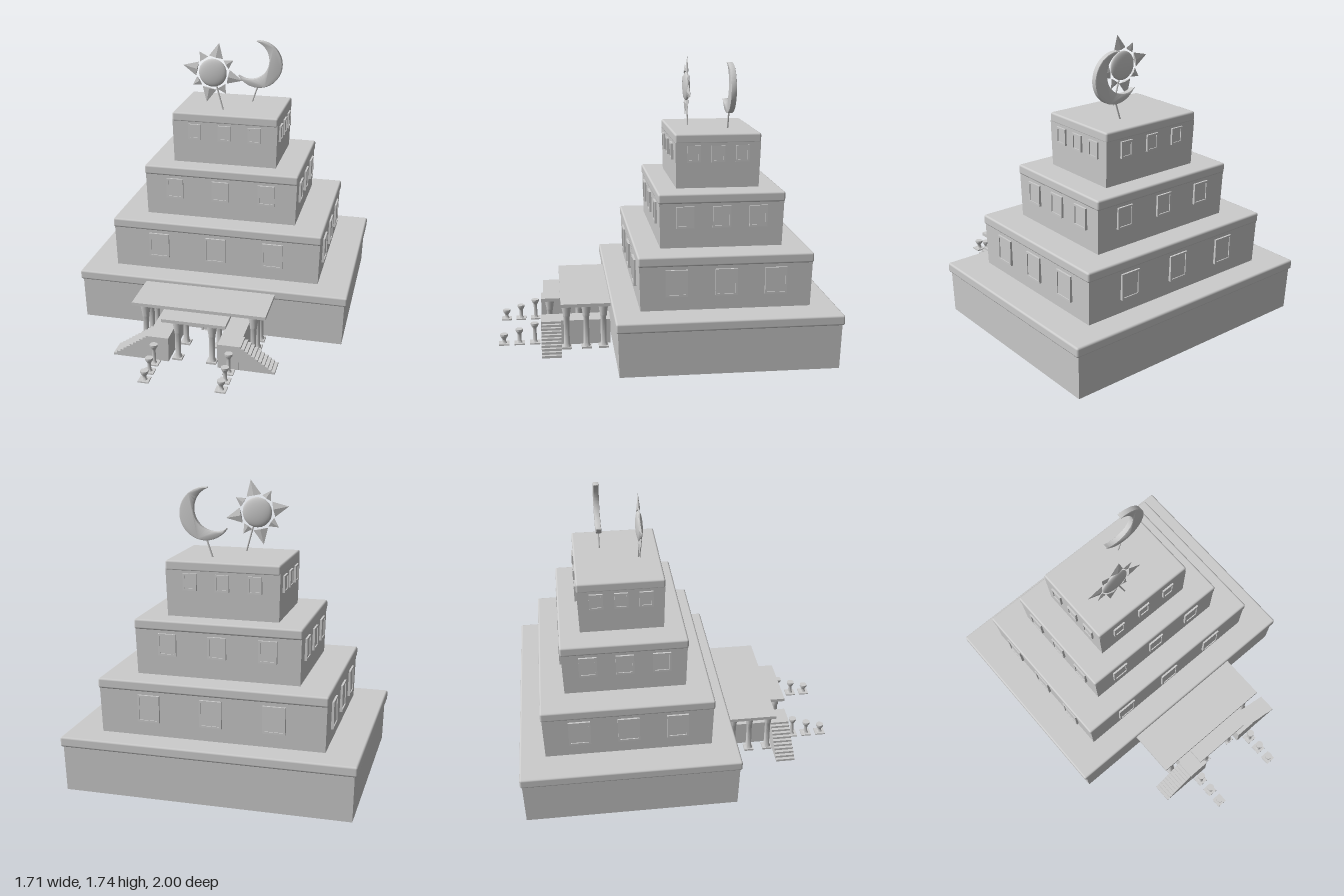
import * as THREE from 'three';
import { RoundedBoxGeometry } from 'three/addons/geometries/RoundedBoxGeometry.js';
import { toCreasedNormals } from 'three/addons/utils/BufferGeometryUtils.js';

const grey = new THREE.MeshStandardMaterial({ color: 0xcccccc });
const CZ = -0.342; // shared centre of the tiers in z

function add(parent, name, geo, x = 0, y = 0, z = 0) {
  const m = new THREE.Mesh(geo, grey);
  m.name = name;
  m.position.set(x, y, z);
  parent.add(m);
  return m;
}
const box = (w, h, d) => new THREE.BoxGeometry(w, h, d);
const lathe = (pts, n = 16) =>
  toCreasedNormals(new THREE.LatheGeometry(pts.map(p => new THREE.Vector2(...p)), n), 0.6);

// Straight round rod between two points
function rod(parent, name, a, b, r) {
  const p = new THREE.Vector3(...a), q = new THREE.Vector3(...b);
  const m = add(parent, name, new THREE.CylinderGeometry(r, r, p.distanceTo(q), 10));
  m.position.copy(p).add(q).multiplyScalar(0.5);
  m.quaternion.setFromUnitVectors(new THREE.Vector3(0, 1, 0), q.sub(p).normalize());
}

// Framed window facing +z, its back on z = 0
function makeWindow(w, h, depth) {
  const g = new THREE.Group();
  g.name = 'window';
  const t = 0.012;
  const s = new THREE.Shape([[-w, -h], [w, -h], [w, h], [-w, h]].map(p => new THREE.Vector2(p[0] / 2, p[1] / 2)));
  const [iw, ih] = [w / 2 - t, h / 2 - t];
  s.holes.push(new THREE.Path([[-iw, -ih], [-iw, ih], [iw, ih], [iw, -ih]].map(p => new THREE.Vector2(...p))));
  add(g, 'windowFrame', new THREE.ExtrudeGeometry(s, { depth, bevelEnabled: false }));
  add(g, 'windowPane', box(2 * iw, 2 * ih, depth * 0.7), 0, 0, depth * 0.35);
  return g;
}

// One storey: body widening slightly upwards, with an overhanging rounded cap
function makeTier(t) {
  const g = new THREE.Group();
  g.name = 'tier';
  const h = t.top - t.y0 - 0.05;
  const body = box(2 * t.bx, h, 2 * t.bz);
  const p = body.attributes.position;
  for (let i = 0; i < p.count; i++) if (p.getY(i) > 0) {
    p.setX(i, p.getX(i) + Math.sign(p.getX(i)) * 0.008);
    p.setZ(i, p.getZ(i) + Math.sign(p.getZ(i)) * 0.008);
  }
  body.computeVertexNormals();
  add(g, 'tierBody', body, 0, t.y0 + h / 2, CZ);
  add(g, 'tierCap', new RoundedBoxGeometry(2 * t.cx, 0.06, 2 * t.cz, 2, 0.012), 0, t.top - 0.03, CZ);
  if (!t.win) return g;
  const { w, h: wh, y, dx, dz } = t.win;
  for (let side = 0; side < 4; side++) {
    const along = side % 2 ? dz : dx, out = side % 2 ? t.bx : t.bz;
    const wall = new THREE.Group();
    wall.name = 'windowRow';
    wall.position.set(0, y, CZ);
    wall.rotation.y = side * Math.PI / 2;
    for (const k of [-1, 0, 1]) {
      const win = makeWindow(w, wh, 0.02);
      win.position.set(k * along, 0, out - 0.001);
      wall.add(win);
    }
    g.add(wall);
  }
  return g;
}

// Column with square foot and flared capital
function column(parent, x, z, h) {
  add(parent, 'columnFoot', box(0.06, 0.012, 0.06), x, 0.006, z);
  add(parent, 'column', lathe([[0, 0.012], [0.026, 0.012], [0.018, 0.03], [0.017, h - 0.09],
    [0.021, h - 0.08], [0.021, h - 0.07], [0.031, h - 0.012], [0.031, h], [0, h]]), x, 0, z);
}

function makePortico() {
  const g = new THREE.Group();
  g.name = 'portico';
  add(g, 'mainRoof', box(0.825, 0.02, 0.31), 0, 0.293, 0.46);
  add(g, 'frontRoof', box(0.39, 0.02, 0.215), 0, 0.262, 0.612);
  for (const s of [-1, 1]) {
    for (const z of [0.355, 0.46, 0.58]) column(g, s * 0.335, z, 0.283);
    for (const z of [0.495, 0.68]) column(g, s * 0.105, z, 0.252);
    // Landing and side staircase
    add(g, 'landing', box(0.13, 0.155, 0.425), s * 0.215, 0.0775, 0.5225);
    const n = 11, run = 0.225 / n;
    const pts = [[0.27, 0]];
    for (let i = 0; i < n; i++) {
      const y = 0.155 * (1 - i / n);
      pts.push([0.27 + i * run, y], [0.27 + (i + 1) * run, y]);
    }
    pts.push([0.495, 0]);
    const shape = new THREE.Shape(pts.map(p => new THREE.Vector2(s * p[0], p[1])));
    add(g, 'stairs', new THREE.ExtrudeGeometry(shape, { depth: 0.12, bevelEnabled: false }), 0, 0, 0.613);
    // Lamp posts, shrinking towards the front
    [[0.775, 0.13], [0.87, 0.095], [0.965, 0.065]].forEach(([z, h]) => {
      add(g, 'postFoot', box(0.064, 0.008, 0.064), s * 0.228, 0.004, z);
      add(g, 'post', lathe([[0, 0.008], [0.018, 0.008], [0.012, 0.018], [0.011, h - 0.035],
        [0.024, h - 0.012], [0.024, h], [0, h]], 12), s * 0.228, 0, z);
    });
  }
  return g;
}

// Arched double door with a raised surround
function makeDoor() {
  const g = new THREE.Group();
  g.name = 'door';
  const arch = (C, r, top) => {
    const s = new C();
    s.moveTo(r, 0);
    s.lineTo(r, top);
    s.absarc(0, top, r, 0, Math.PI, false);
    s.lineTo(-r, 0);
    s.closePath();
    return s;
  };
  const frame = arch(THREE.Shape, 0.055, 0.05);
  frame.holes.push(arch(THREE.Path, 0.04, 0.05));
  add(g, 'doorFrame', new THREE.ExtrudeGeometry(frame, { depth: 0.03, bevelEnabled: false }), 0, 0, 0.29);
  add(g, 'doorPanel', new THREE.ExtrudeGeometry(arch(THREE.Shape, 0.04, 0.05), { depth: 0.018, bevelEnabled: false }), 0, 0, 0.29);
  add(g, 'doorSeam', box(0.003, 0.088, 0.004), 0, 0.044, 0.309);
  for (const s of [-1, 1]) add(g, 'doorKnob', new THREE.SphereGeometry(0.004, 8, 6), s * 0.008, 0.04, 0.311);
  return g;
}

function makeSun() {
  const g = new THREE.Group();
  g.name = 'sun';
  g.position.set(-0.105, 1.545, -0.21);
  const disc = add(g, 'sunDisc', new THREE.SphereGeometry(0.09, 32, 20));
  disc.scale.z = 0.24;
  // Eight flattened pyramid rays, alternately long and short
  for (let i = 0; i < 8; i++) {
    const long = i % 2 === 0, len = long ? 0.095 : 0.055, r = long ? 0.046 : 0.031;
    const geo = new THREE.ConeGeometry(r, len, 4).toNonIndexed();
    geo.computeVertexNormals();
    geo.translate(0, 0.102 + len / 2, 0);
    geo.scale(1, 1, 0.25);
    add(g, 'sunRay', geo).rotation.z = (-12 + i * 45) * Math.PI / 180;
  }
  return g;
}

function makeMoon() {
  const s = new THREE.Shape(), d = Math.PI / 180;
  s.absarc(0.145, 1.56, 0.152, 95.6 * d, 210.6 * d - 2 * Math.PI, true);
  s.absarc(0.0865, 1.588, 0.132, 234.7 * d, 430.7 * d, false);
  const geo = new THREE.ExtrudeGeometry(s, {
    depth: 0.022, curveSegments: 32, bevelThickness: 0.006, bevelSize: 0.004, bevelOffset: -0.001, bevelSegments: 2
  });
  return toCreasedNormals(geo, 0.7);
}

export function createModel() {
  const root = new THREE.Group();
  root.name = 'steppedTemple';
  [
    { y0: 0, top: 0.327, bx: 0.833, bz: 0.638, cx: 0.857, cz: 0.657 },
    { y0: 0.32, top: 0.652, bx: 0.655, bz: 0.501, cx: 0.671, cz: 0.516, win: { w: 0.13, h: 0.16, y: 0.492, dx: 0.367, dz: 0.292 } },
    { y0: 0.645, top: 0.98, bx: 0.481, bz: 0.365, cx: 0.495, cz: 0.379, win: { w: 0.108, h: 0.13, y: 0.838, dx: 0.296, dz: 0.219 } },
    { y0: 0.972, top: 1.308, bx: 0.331, bz: 0.251, cx: 0.34, cz: 0.261, win: { w: 0.082, h: 0.1, y: 1.188, dx: 0.193, dz: 0.148 } }
  ].forEach(t => root.add(makeTier(t)));
  root.add(makePortico(), makeDoor(), makeSun());
  add(root, 'moon', makeMoon(), 0, 0, -0.451);
  rod(root, 'sunPole', [-0.036, 1.3, -0.21], [-0.083, 1.47, -0.21], 0.005);
  rod(root, 'moonPole', [0.102, 1.3, -0.44], [0.142, 1.42, -0.44], 0.005);
  return root;
}
